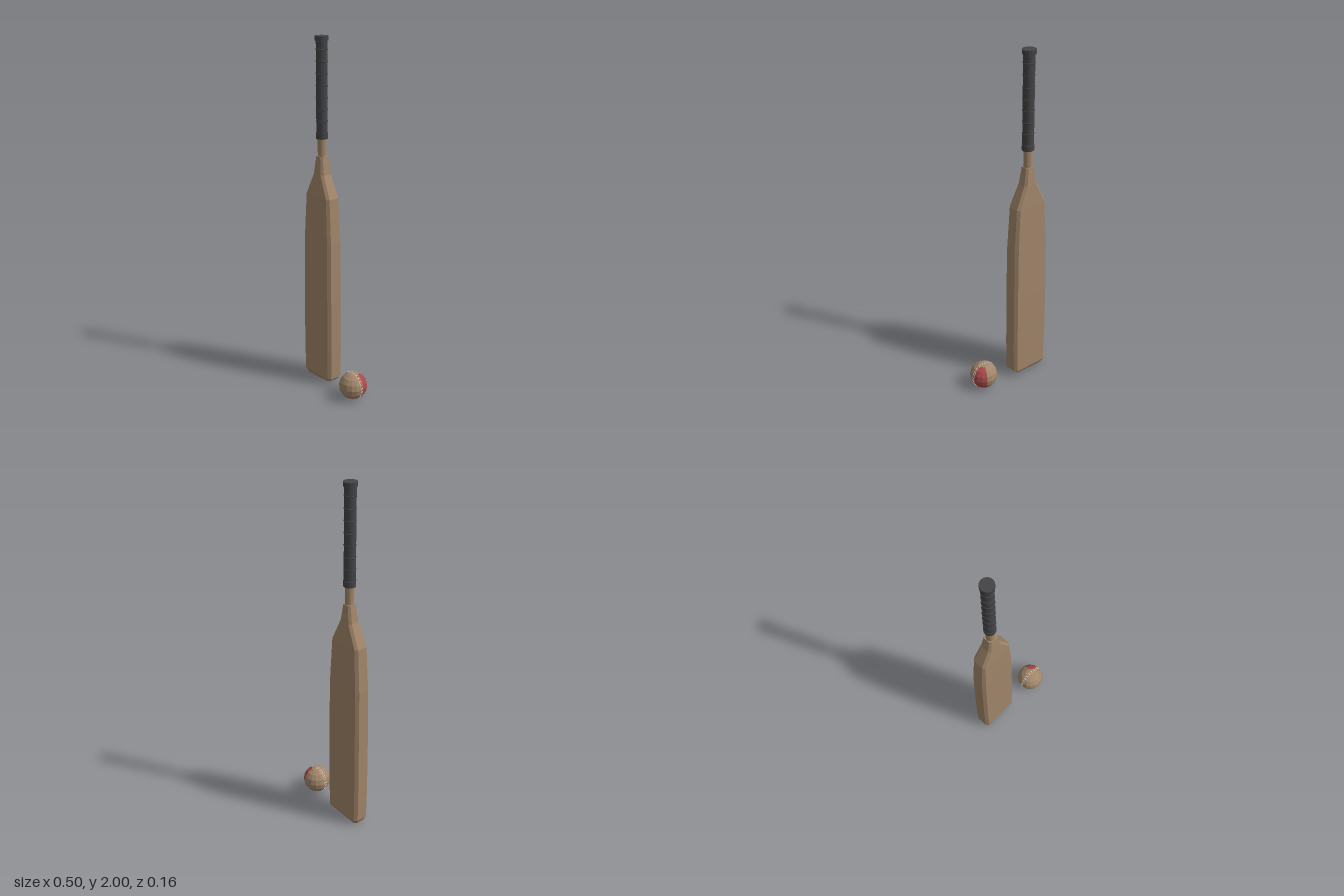
import * as THREE from 'three';

const wood = new THREE.MeshStandardMaterial({ name: 'willow', color: 0xa1866a, flatShading: true });
const rubber = new THREE.MeshStandardMaterial({ name: 'black rubber', color: 0x444346, flatShading: true });
const red = new THREE.MeshStandardMaterial({ name: 'red leather', color: 0xa84a4a, flatShading: true });
const thread = new THREE.MeshStandardMaterial({ name: 'pale thread', color: 0xdcd8cc, flatShading: true });

function add(parent, name, geometry, material, x = 0, y = 0, z = 0) {
  const mesh = new THREE.Mesh(geometry, material);
  mesh.name = name;
  mesh.position.set(x, y, z);
  parent.add(mesh);
  return mesh;
}

// Chamfered rectangular cross-sections: [height, half width, half depth, chamfer, tilt]
function bladeGeometry() {
  const sections = [
    [0.012, 0.098, 0.034, 0.012, 0.09],
    [0.038, 0.118, 0.049, 0.016, 0.03],
    [0.22, 0.121, 0.05, 0.016, 0],
    [0.55, 0.12, 0.05, 0.016, 0],
    [0.875, 0.116, 0.048, 0.016, 0],
    [1.13, 0.1, 0.043, 0.014, 0],
    [1.255, 0.043, 0.035, 0.013, 0],
    [1.355, 0.027, 0.027, 0.01, 0],
  ];
  const positions = [];
  const index = [];
  for (const [y, w, d, c, tilt] of sections) {
    const ring = [
      [w, d - c], [w - c, d], [c - w, d], [-w, d - c],
      [-w, c - d], [c - w, -d], [w - c, -d], [w, c - d],
    ];
    for (const [x, z] of ring) positions.push(x, y + x * tilt, z);
  }
  const last = (sections.length - 1) * 8;
  // Ring runs from +x through +z to -x
  for (let s = 0; s < last; s += 8) {
    for (let i = 0; i < 8; i++) {
      const a = s + i;
      const b = s + (i + 1) % 8;
      index.push(a, a + 8, b, b, a + 8, b + 8);
    }
  }
  for (let i = 1; i < 7; i++) {
    index.push(0, i, i + 1, last, last + i + 1, last + i);
  }
  const geometry = new THREE.BufferGeometry();
  geometry.setAttribute('position', new THREE.Float32BufferAttribute(positions, 3));
  geometry.setIndex(index);
  const flat = geometry.toNonIndexed();
  flat.computeVertexNormals();
  return flat;
}

function createBat() {
  const bat = new THREE.Group();
  bat.name = 'bat';
  add(bat, 'blade', bladeGeometry(), wood);
  add(bat, 'neck', new THREE.CylinderGeometry(0.024, 0.024, 0.14, 16), wood, 0, 1.4);
  add(bat, 'grip', new THREE.CylinderGeometry(0.031, 0.031, 0.53, 16), rubber, 0, 1.72);
  add(bat, 'gripCollar', new THREE.CylinderGeometry(0.033, 0.033, 0.03, 16), rubber, 0, 1.467);
  // Raised wraps along the grip
  for (let i = 0; i < 8; i++) {
    const wrap = add(bat, 'gripWrap', new THREE.TorusGeometry(0.0305, 0.0035, 6, 16), rubber, 0, 1.483 + i * 0.064);
    wrap.rotation.x = Math.PI / 2;
  }
  add(bat, 'gripCap', new THREE.CylinderGeometry(0.037, 0.037, 0.024, 16), rubber, 0, 1.988);
  return bat;
}

function createBall() {
  const ball = new THREE.Group();
  ball.name = 'ball';
  const r = 0.08;
  const step = Math.PI / 8;
  // A facet patch of the sphere, counted in steps of azimuth and polar angle
  const patch = (name, material, phi, phiCount, theta, thetaCount) => add(ball, name,
    new THREE.SphereGeometry(r, phiCount, thetaCount, phi * step, phiCount * step, theta * step, thetaCount * step), material);
  patch('ballShell', wood, 11, 13, 0, 8);
  patch('ballShellTop', wood, 8, 3, 0, 1);
  patch('redPatch', red, 8, 3, 1, 5);
  patch('ballShellBottom', wood, 8, 3, 6, 2);
  // Seam: two rows of thread joined by cross stitches
  for (const z of [-0.006, 0.006]) {
    add(ball, 'seamRow', new THREE.TorusGeometry(0.0793, 0.001, 5, 16), thread, 0, 0, z);
  }
  for (let i = 0; i < 24; i++) {
    const a = (i + 0.5) * Math.PI / 12;
    const stitch = add(ball, 'stitch', new THREE.BoxGeometry(0.002, 0.003, 0.013), thread,
      0.0793 * Math.cos(a), 0.0793 * Math.sin(a), 0);
    stitch.rotation.z = a;
  }
  return ball;
}

export function createModel() {
  const model = new THREE.Group();
  model.name = 'batAndBall';
  const bat = createBat();
  bat.position.set(-0.132, 0, -0.024);
  const ball = createBall();
  ball.position.set(0.171, 0.085, 0);
  model.add(bat, ball);
  return model;
}
